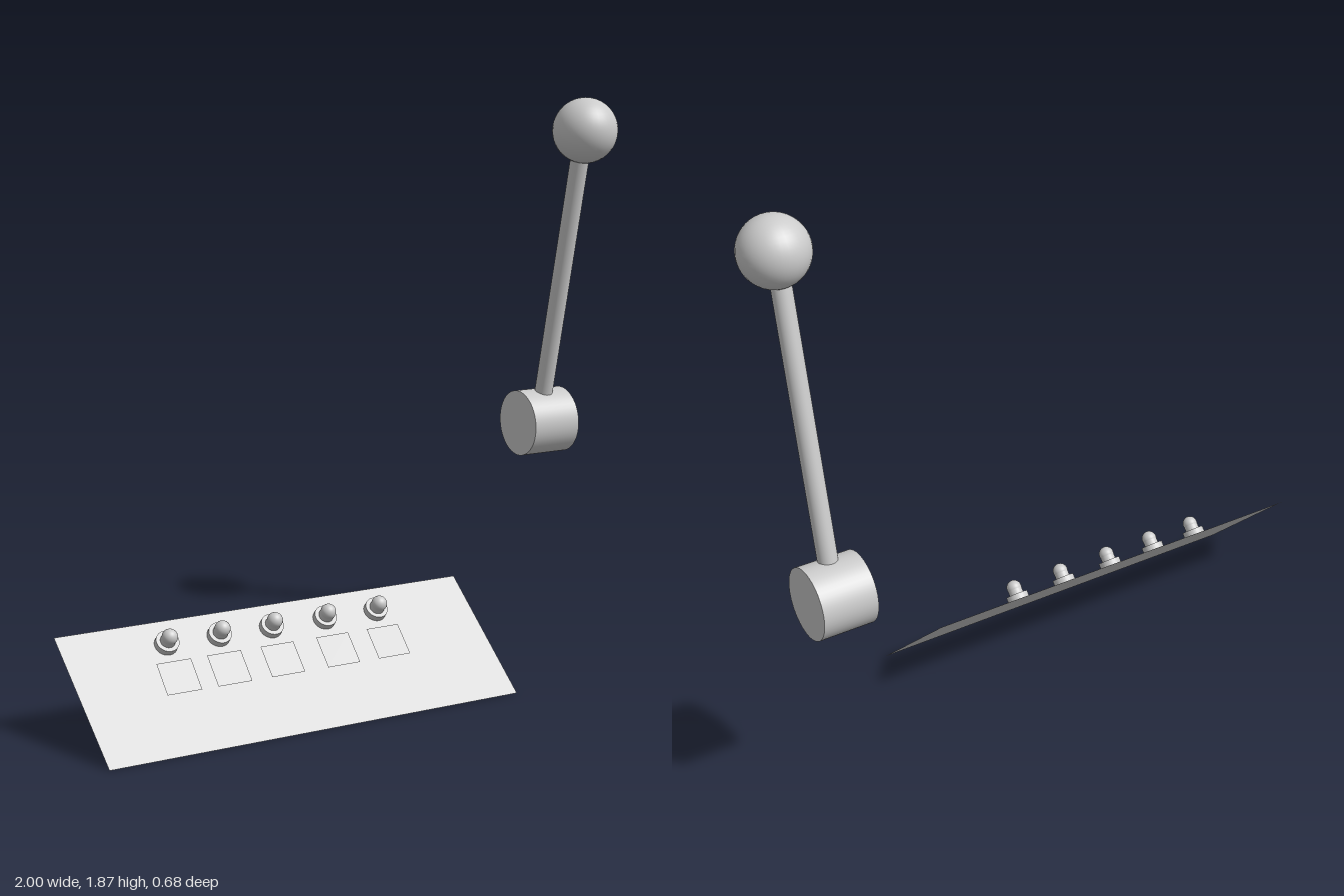
import * as THREE from 'three';

export function createModel() {
  const model = new THREE.Group();
  const grey = new THREE.MeshStandardMaterial({ color: 0xcccccc });
  const sheet = new THREE.MeshStandardMaterial({ color: 0xcccccc, side: THREE.DoubleSide });

  const add = (parent, name, geometry, material = grey) => {
    const mesh = new THREE.Mesh(geometry, material);
    mesh.name = name;
    parent.add(mesh);
    return mesh;
  };

  // Sloping console: local x runs across, local y up the slope, local z out of it
  const rise = 0.31, depth = 0.337;
  const slope = Math.hypot(rise, depth);
  const console_ = new THREE.Group();
  console_.name = 'console';
  console_.position.z = depth;
  console_.rotation.x = -Math.atan2(depth, rise);
  model.add(console_);

  // Slanted sheet
  const outline = [[-0.965, 0], [0.437, 0], [0.402, slope], [-1, slope]];
  const panel = new THREE.Shape(outline.map(([x, y]) => new THREE.Vector2(x, y)));
  add(console_, 'panel', new THREE.ShapeGeometry(panel), sheet);

  // Buttons with a label plate below each
  const buttonX = [-0.663, -0.487, -0.307, -0.118, 0.067];
  const plateX = [-0.66, -0.492, -0.31, -0.115, 0.067];
  buttonX.forEach((x, i) => {
    const button = new THREE.Group();
    button.name = `button${i + 1}`;
    button.position.set(x, 0.375, 0);
    button.rotation.x = Math.PI / 2;
    console_.add(button);
    add(button, 'buttonCollar', new THREE.CylinderGeometry(0.037, 0.037, 0.022, 32)).position.y = 0.011;
    add(button, 'buttonStem', new THREE.CylinderGeometry(0.024, 0.024, 0.046, 32)).position.y = 0.023;
    add(button, 'buttonKnob', new THREE.SphereGeometry(0.025, 32, 16)).position.y = 0.046;

    const plate = add(console_, `labelPlate${i + 1}`, new THREE.PlaneGeometry(0.114, 0.11), sheet);
    plate.position.set(plateX[i], 0.257, 0.006);
  });

  // Lever: horizontal hub, leaning rod and ball grip
  const lever = new THREE.Group();
  lever.name = 'lever';
  lever.position.set(0.885, 0.748, -0.225);
  model.add(lever);
  add(lever, 'leverHub', new THREE.CylinderGeometry(0.113, 0.113, 0.177, 48)).rotation.z = Math.PI / 2;

  const reachY = 1.016, reachZ = 0.231;
  const length = Math.hypot(reachY, reachZ);
  const arm = new THREE.Group();
  arm.name = 'leverArm';
  arm.rotation.x = Math.atan2(reachZ, reachY);
  lever.add(arm);
  add(arm, 'leverRod', new THREE.CylinderGeometry(0.031, 0.031, length, 32)).position.y = length / 2;
  add(arm, 'leverBall', new THREE.SphereGeometry(0.108, 32, 24)).position.set(0.004, length, 0);

  return model;
}
